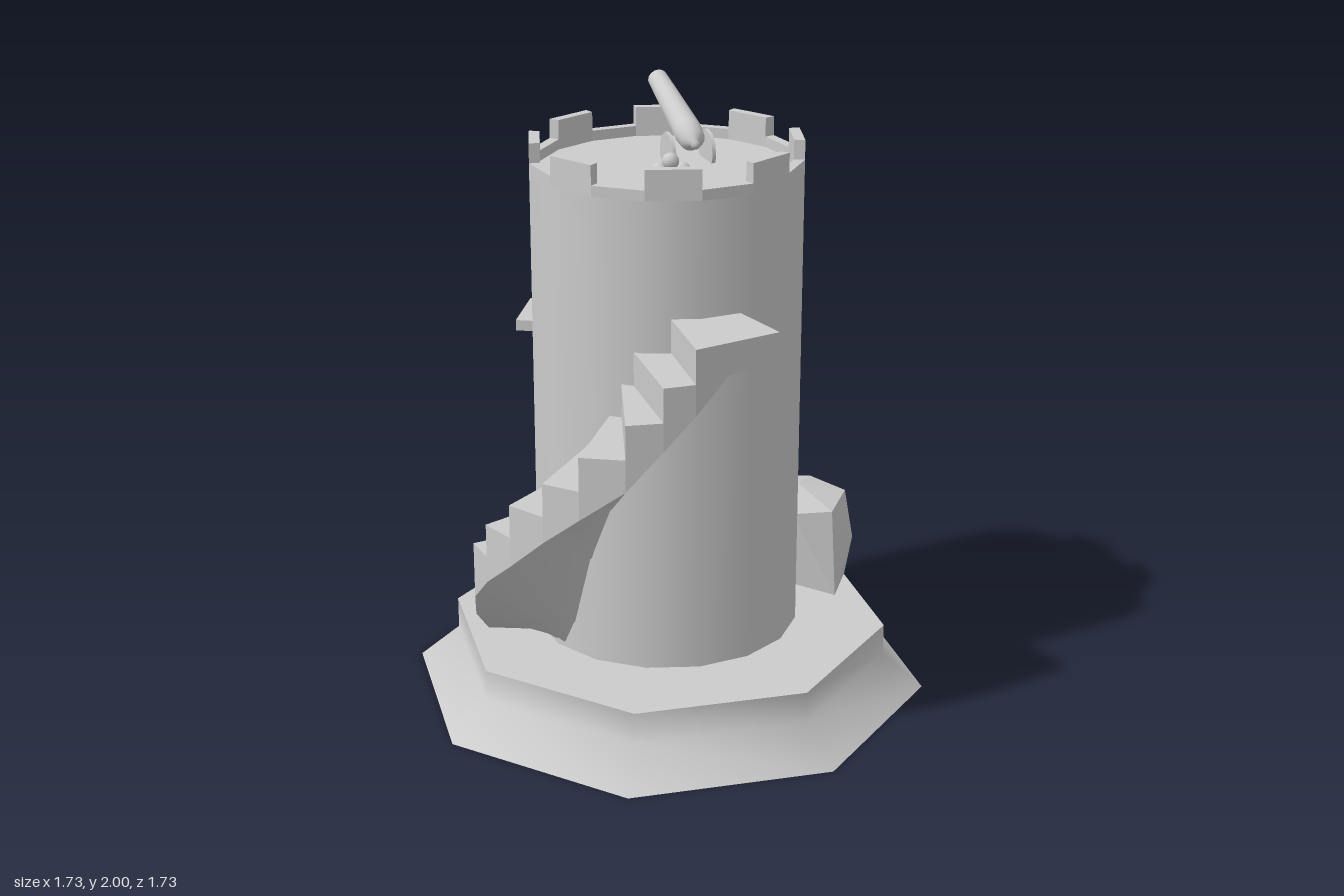
import * as THREE from 'three';
import { mergeVertices } from 'three/addons/utils/BufferGeometryUtils.js';
import { ConvexGeometry } from 'three/addons/geometries/ConvexGeometry.js';

const CX = -0.01, CZ = -0.02, R = 0.44, SIDES = 16, STEP = Math.PI * 2 / SIDES;
const BASE = 0.22, FLOOR = 1.77;
const V = (x, y, z) => new THREE.Vector3(x, y, z);
const polar = (r, a, y = 0) => V(CX + r * Math.cos(a), y, CZ + r * Math.sin(a));

// geometry from a list of four-cornered faces
function quads(list, smooth = false) {
  const pts = list.flatMap(([a, b, c, d]) => [a, b, c, a, c, d]);
  let g = new THREE.BufferGeometry().setFromPoints(pts);
  if (smooth) g = mergeVertices(g);
  g.computeVertexNormals();
  return g;
}

// half outline of the arched window, from the top down to the sill
const WIN = { w: 0.08, sill: 1.25, spring: 1.46, top: 1.56 };
function halfArch() {
  const p = [];
  for (let i = 0; i <= 6; i++) {
    const t = i / 6 * Math.PI / 2;
    p.push(new THREE.Vector2(WIN.w * Math.sin(t), WIN.spring + (WIN.top - WIN.spring) * Math.cos(t)));
  }
  p.push(new THREE.Vector2(WIN.w, WIN.sill), new THREE.Vector2(0, WIN.sill));
  return p;
}

// one wall facet with rounded normals; two of them carry half the window each
function wallFacet(i) {
  const left = polar(R, (i + 1) * STEP), right = polar(R, i * STEP);
  const c = left.distanceTo(right), dir = right.clone().sub(left).normalize();
  let pts = [[0, BASE], [c, BASE], [c, FLOOR], [0, FLOOR]].map(p => new THREE.Vector2(...p));
  if (i === 7 || i === 8) pts.push(...halfArch());
  if (i === 8) pts = pts.map(p => new THREE.Vector2(c - p.x, p.y));
  const g = new THREE.ShapeGeometry(new THREE.Shape(pts));
  const pos = g.attributes.position, nor = g.attributes.normal;
  for (let k = 0; k < pos.count; k++) {
    const y = pos.getY(k), p = left.clone().addScaledVector(dir, pos.getX(k));
    const n = V(p.x - CX, 0, p.z - CZ).normalize();
    pos.setXYZ(k, p.x, y, p.z);
    nor.setXYZ(k, n.x, n.y, n.z);
  }
  return g;
}

// low battlement piece, alternately tall and short
function parapetPiece(i) {
  const top = i % 2 ? 1.867 : 1.804, a = i * STEP, b = a + STEP;
  const corners = [polar(R, a), polar(R, b), polar(0.405, b), polar(0.405, a)];
  const shape = new THREE.Shape(corners.map(p => new THREE.Vector2(p.x, -p.z)));
  const g = new THREE.ExtrudeGeometry(shape, { depth: top - FLOOR, bevelEnabled: false });
  return g.rotateX(-Math.PI / 2).translate(0, FLOOR, 0);
}

// rock from two uneven rings and a peak
function rock(x, z, rx, rz, h, sides, turn) {
  const pts = [V(x, BASE + h, z)];
  for (let i = 0; i < sides; i++) {
    const a = turn + i / sides * Math.PI * 2;
    const k = 1 + 0.08 * Math.sin(i * 2.3 + turn);
    const c = Math.cos(a) * k, s = Math.sin(a) * k;
    pts.push(V(x + c * rx * 0.9, BASE, z + s * rz * 0.9));
    pts.push(V(x + c * rx, BASE + h * 0.5, z + s * rz));
    pts.push(V(x + c * rx * 0.75, BASE + h * 0.88, z + s * rz * 0.75));
  }
  return new ConvexGeometry(pts);
}

export function createModel() {
  const model = new THREE.Group();
  const grey = new THREE.MeshStandardMaterial({ color: 0xcccccc });
  const thin = new THREE.MeshStandardMaterial({ color: 0xcccccc, side: THREE.DoubleSide });
  const add = (name, geometry, parent = model, material = grey) => {
    const m = new THREE.Mesh(geometry, material);
    m.name = name;
    parent.add(m);
    return m;
  };
  const group = name => {
    const g = new THREE.Group();
    g.name = name;
    model.add(g);
    return g;
  };

  // octagonal plinth with flared foot
  const plinth = group('plinth');
  const profile = [[0.865, 0], [0.73, 0.115], [0.73, BASE]].map(p => new THREE.Vector2(...p));
  add('plinthSide', new THREE.LatheGeometry(profile, 8), plinth);
  add('plinthTop', new THREE.CircleGeometry(0.73, 8).rotateX(-Math.PI / 2).translate(0, BASE, 0), plinth);
  add('plinthBottom', new THREE.CircleGeometry(0.865, 8).rotateX(Math.PI / 2), plinth);

  // round tower, roof floor and battlements
  const tower = group('tower');
  for (let i = 0; i < SIDES; i++) {
    add('wall', wallFacet(i), tower);
    add('battlement', parapetPiece(i), tower);
  }
  add('roofFloor', new THREE.CircleGeometry(0.42, SIDES).rotateX(-Math.PI / 2).translate(CX, FLOOR, CZ), tower);

  // recessed arched window with a sill
  const win = group('window');
  const half = halfArch(), outline = [...half, ...half.slice(0, -1).reverse().map(p => new THREE.Vector2(-p.x, p.y))];
  const wallX = u => CX - R + Math.abs(u) * Math.tan(STEP / 2), backX = CX - R + 0.045;
  add('windowJamb', quads(outline.slice(1).map((q, j) => {
    const p = outline[j];
    return [V(wallX(p.x), p.y, CZ + p.x), V(backX, p.y, CZ + p.x), V(backX, q.y, CZ + q.x), V(wallX(q.x), q.y, CZ + q.x)];
  })), win, thin);
  add('windowBack', new THREE.ShapeGeometry(new THREE.Shape(outline)).rotateY(-Math.PI / 2).translate(backX, 0, CZ), win, thin);
  add('windowSill', new THREE.BoxGeometry(0.06, 0.035, 0.235).translate(-0.457, 1.245, -0.045), win);

  // winding stair: outer corners, inner angles and heights of the underside
  const outer = [[-0.555, 0.122], [-0.577, 0.205], [-0.587, 0.33], [-0.56, 0.45], [-0.496, 0.545], [-0.4, 0.635],
    [-0.28, 0.71], [-0.16, 0.755], [-0.018, 0.757], [0.09, 0.72], [0.18, 0.675], [0.27, 0.597], [0.406, 0.478]];
  const innerDeg = [160, 150, 143, 137, 132, 126, 116, 106, 101, 96, 80, 66, 50];
  const outerLow = [0.22, 0.22, 0.33, 0.45, 0.55, 0.65, 0.77, 0.87, 0.97, 1.09, 1.19, 1.3, 1.3];
  const innerLow = [0.22, 0.22, 0.22, 0.22, 0.22, 0.31, 0.56, 0.75, 0.84, 0.93, 1.12, 1.3, 1.3];
  const O = (k, y) => V(outer[k][0], y, outer[k][1]);
  const I = (k, y) => polar(0.42, THREE.MathUtils.degToRad(innerDeg[k]), y);
  const steps = [], under = [];
  let last = BASE;
  for (let k = 0; k < 12; k++) {
    const t = Math.min(0.31 + 0.109 * k, 1.4);
    steps.push([I(k, t), O(k, t), O(k + 1, t), I(k + 1, t)]);
    if (t > last) steps.push([I(k, last), O(k, last), O(k, t), I(k, t)]);
    steps.push([O(k, outerLow[k]), O(k + 1, outerLow[k + 1]), O(k + 1, t), O(k, t)]);
    const slab = [I(k, innerLow[k]), I(k + 1, innerLow[k + 1]), O(k + 1, outerLow[k + 1]), O(k, outerLow[k])];
    (k < 11 ? under : steps).push(slab);
    last = t;
  }
  steps.push([I(12, 1.3), I(12, 1.4), O(12, 1.4), O(12, 1.3)]);
  const stair = group('stair');
  add('steps', quads(steps), stair, thin);
  add('stairUnderside', quads(under, true), stair, thin);

  // rocks beside the tower
  const rocks = group('rocks');
  add('largeRock', new ConvexGeometry([
    V(0.27, 0.5, -0.58), V(0.43, 0.52, -0.55), V(0.56, 0.51, -0.46), V(0.53, 0.51, -0.26), V(0.4, 0.51, -0.22),
    V(0.24, 0.48, -0.4), V(0.4, 0.55, -0.4), V(0.59, 0.33, -0.47), V(0.55, 0.22, -0.21), V(0.38, 0.26, -0.21),
    V(0.57, 0.22, -0.4), V(0.3, 0.22, -0.59), V(0.26, 0.22, -0.35), V(0.45, 0.22, -0.56)]), rocks);
  add('mediumRock', rock(0.17, -0.52, 0.1, 0.1, 0.2, 7, 0.3), rocks);
  add('smallRock', rock(0.005, -0.52, 0.065, 0.07, 0.11, 6, 0.8), rocks);

  // cannon: barrel built along y, then aimed upward and outward
  const cannon = group('cannon');
  const breech = V(0.07, 1.845, -0.06), muzzle = V(-0.09, 1.97, -0.38);
  const length = breech.distanceTo(muzzle);
  const barrel = [[0, -0.04], [0.014, -0.035], [0.016, -0.02], [0.04, 0], [0.046, 0.05], [0.033, length], [0.02, length], [0.02, length - 0.05], [0, length - 0.05]];
  const body = add('barrel', new THREE.LatheGeometry(barrel.map(p => new THREE.Vector2(...p)), 14), cannon);
  body.position.copy(breech);
  body.quaternion.setFromUnitVectors(V(0, 1, 0), muzzle.clone().sub(breech).normalize());
  const across = V(0.894, 0, -0.447);
  for (const s of [-1, 1]) {
    const wheel = add('wheel', new THREE.CylinderGeometry(0.068, 0.068, 0.012, 10), cannon);
    wheel.position.set(0.05, 1.8, -0.09).addScaledVector(across, s * 0.066);
    wheel.quaternion.setFromUnitVectors(V(0, 1, 0), across);
  }

  // small pile of cannonballs
  const balls = group('cannonballs');
  for (const [x, y, z] of [[-0.005, 1.796, 0.15], [0.065, 1.796, 0.137], [0.005, 1.796, 0.215], [0.075, 1.796, 0.2], [0.033, 1.835, 0.177]])
    add('cannonball', new THREE.SphereGeometry(0.027, 10, 8).translate(x, y, z), balls);

  return model;
}
